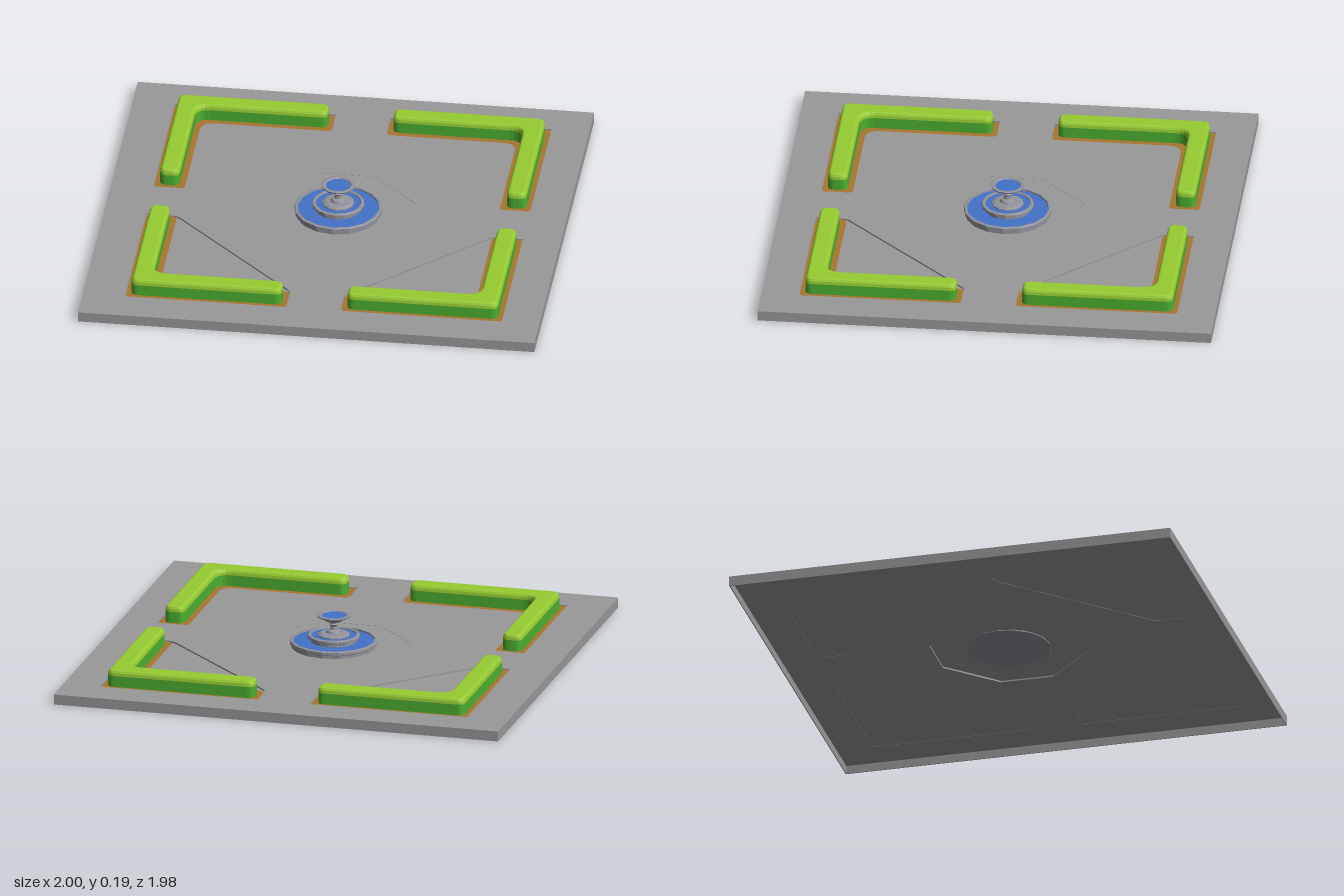
import * as THREE from 'three';

const mat = (name, color, side = THREE.FrontSide) => {
  const m = new THREE.MeshStandardMaterial({ color, side });
  m.name = name;
  return m;
};

// Outline from [x, y, cornerRadius] points
function rounded(points, Type = THREE.Shape) {
  const s = new Type(), n = points.length;
  const toward = (a, b, r) => {
    const d = Math.hypot(b[0] - a[0], b[1] - a[1]);
    return [a[0] + (b[0] - a[0]) * r / d, a[1] + (b[1] - a[1]) * r / d];
  };
  points.forEach((p, k) => {
    const r = p[2] || 0;
    const a = toward(p, points[(k + n - 1) % n], r), b = toward(p, points[(k + 1) % n], r);
    if (k === 0) s.moveTo(...a); else s.lineTo(...a);
    if (r) s.quadraticCurveTo(p[0], p[1], ...b);
  });
  s.closePath();
  return s;
}

// L outline: outer edge o, end e, inner edge i
const ell = (o, e, i, r, rIn) =>
  [[o, o, r], [e, o, r], [e, i, r], [i, i, rIn], [i, e, r], [o, e, r]];

export function createModel() {
  const model = new THREE.Group();
  const paving = mat('paving', 0x999999, THREE.DoubleSide);
  const soil = mat('soil', 0xa87630);
  const leafTop = mat('leafTop', 0x96cc32);
  const leafSide = mat('leafSide', 0x4cb030);
  const stone = mat('stone', 0x92929c, THREE.DoubleSide);
  stone.flatShading = true;
  const water = mat('water', 0x4272c8);

  const add = (name, geo, material, parent = model) => {
    const m = new THREE.Mesh(geo, material);
    m.name = name;
    parent.add(m);
    return m;
  };
  // Horizontal slab or sheet with its base at height y
  const slab = (shape, y, depth, extra = {}) =>
    new THREE.ExtrudeGeometry(shape, { depth, bevelEnabled: false, curveSegments: 5, ...extra })
      .rotateX(-Math.PI / 2).translate(0, y, 0);
  const sheet = (shape, y) =>
    new THREE.ShapeGeometry(shape, 5).rotateX(-Math.PI / 2).translate(0, y, 0);

  const CX = 0.01, TOP = 0.045;
  const signs = [[1, 1], [-1, 1], [-1, -1], [1, -1]];
  const place = (pts, sx, sy) => pts.map(([x, y, r]) => [x * sx + CX, y * sy, r]);
  const rect = (x, y) => [[-x, -y], [x, -y], [x, y], [-x, y]];

  // Paved slab, hollow below, with recessed corner panels
  const bed = [[0.826, 0.826], [0.118, 0.826], [0.118, 0.69, 0.025], [0.69, 0.118, 0.025], [0.826, 0.118]];
  const oct = [[0.325, 0.117], [0.117, 0.325], [-0.117, 0.325], [-0.325, 0.117],
    [-0.325, -0.117], [-0.117, -0.325], [0.117, -0.325], [0.325, -0.117]];
  const deck = rounded(rect(1, 0.99));
  for (const [sx, sy] of signs) deck.holes.push(rounded(place(bed, sx, sy), THREE.Path));
  deck.holes.push(rounded(place(oct, 1, 1), THREE.Path));
  add('deck', slab(deck, TOP - 0.008, 0.008), paving);

  const skirt = rounded(rect(1, 0.99));
  skirt.holes.push(rounded(rect(0.996, 0.986), THREE.Path));
  add('skirt', slab(skirt, 0, TOP - 0.001), paving);

  // Octagonal plaza around the fountain
  const plaza = rounded(place(oct, 1, 1));
  plaza.holes.push(new THREE.Path().absarc(CX, 0, 0.185, 0, Math.PI * 2, true));
  add('plaza', sheet(plaza, TOP - 0.001), paving);

  // Four corner gardens
  for (const [sx, sy] of signs) {
    const garden = new THREE.Group();
    garden.name = 'cornerGarden';
    model.add(garden);
    add('cornerPanel', sheet(rounded(place(bed, sx, sy)), TOP - 0.007), paving, garden);
    add('soilBed', sheet(rounded(place(ell(0.824, 0.12, 0.69, 0.025, 0.06), sx, sy)), TOP - 0.004), soil, garden);
    const hedge = rounded(place(ell(0.803, 0.143, 0.716, 0.032, 0.06), sx, sy));
    add('hedgeSides', slab(hedge, TOP - 0.005, 0.05), leafSide, garden);
    add('hedgeTop', slab(hedge, 0.09, 0.001, {
      bevelEnabled: true, bevelThickness: 0.024, bevelSize: 0.013, bevelOffset: -0.013, bevelSegments: 3,
    }), leafTop, garden);
  }

  // Fountain: pool, middle tier, stem and bowl
  const fountain = new THREE.Group();
  fountain.name = 'fountain';
  fountain.position.x = CX;
  model.add(fountain);
  const turned = (name, pts, sides) => add(name,
    new THREE.LatheGeometry(pts.map(p => new THREE.Vector2(...p)), sides), stone, fountain);
  const pond = (name, r, y, sides) => add(name,
    new THREE.CylinderGeometry(r, r, 0.002, sides).translate(0, y, 0), water, fountain);

  turned('pool', [[0, 0.04], [0.185, 0.04], [0.185, 0.056], [0.192, 0.06], [0.192, 0.073],
    [0.188, 0.076], [0.179, 0.076], [0.176, 0.06], [0, 0.06]], 16);
  pond('poolWater', 0.178, 0.068, 16);
  turned('middleTier', [[0.1, 0.06], [0.1, 0.08], [0.114, 0.086], [0.114, 0.097],
    [0.11, 0.1], [0.1, 0.1], [0.096, 0.09], [0, 0.09]], 16);
  pond('tierWater', 0.098, 0.094, 16);
  turned('stem', [[0.07, 0.09], [0.07, 0.1], [0.058, 0.106], [0.034, 0.108], [0.03, 0.117],
    [0.016, 0.123], [0.014, 0.138], [0.022, 0.146], [0.016, 0.152], [0.028, 0.16]], 12);
  turned('bowl', [[0.02, 0.156], [0.04, 0.163], [0.05, 0.175], [0.073, 0.181], [0.075, 0.187],
    [0.071, 0.189], [0.058, 0.188], [0.052, 0.18], [0, 0.178]], 12);
  pond('bowlWater', 0.054, 0.184, 12);

  return model;
}
